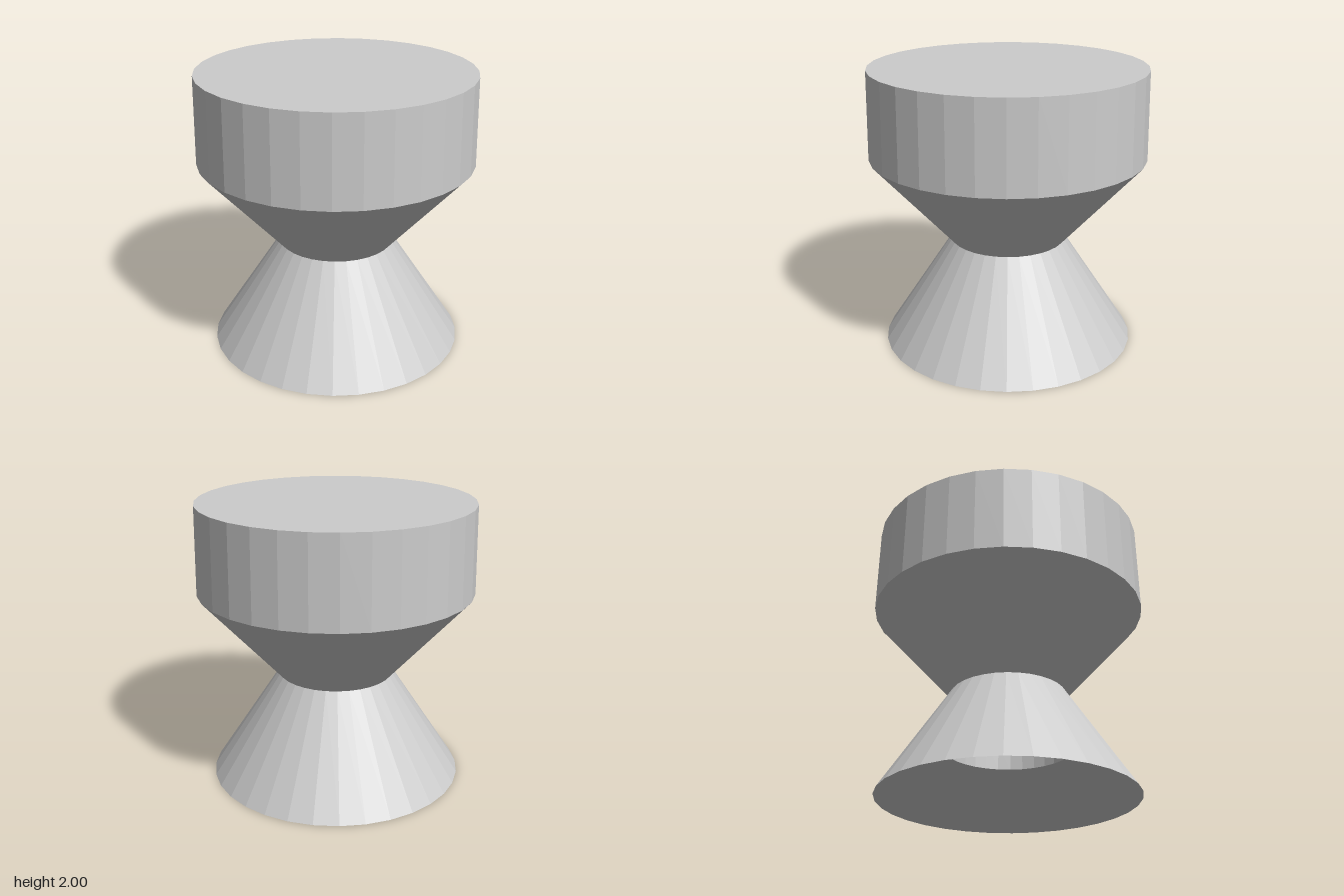
import * as THREE from 'three';

const SIDES = 32;

export function createModel() {
  const group = new THREE.Group();
  const material = new THREE.MeshStandardMaterial({
    color: 0xcccccc, flatShading: true, side: THREE.DoubleSide,
  });

  // Revolves a profile of [radius, height] pairs into a faceted part.
  function addTurned(name, profile) {
    const points = profile.map(([r, y]) => new THREE.Vector2(r, y));
    const geometry = new THREE.LatheGeometry(points, SIDES).toNonIndexed();
    geometry.computeVertexNormals();
    const mesh = new THREE.Mesh(geometry, material);
    mesh.name = name;
    group.add(mesh);
  }

  // Hollow underside: round recess, then a flare out to the foot rim
  addTurned('undersideRecess', [[0, 0.566], [0.455, 0.566], [0.455, 0.361]]);
  addTurned('undersideFlare', [[0.455, 0.361], [0.905, 0]]);

  // Outside: conical foot up to the narrow waist, then the flaring body
  addTurned('foot', [[0.905, 0], [0.41, 0.757]]);
  addTurned('flaredBody', [[0.41, 0.757], [0.975, 1.38]]);

  // Slightly tapered drum with a flat top
  addTurned('drum', [[0.975, 1.38], [0.965, 2]]);
  addTurned('top', [[0.965, 2], [0, 2]]);

  return group;
}
